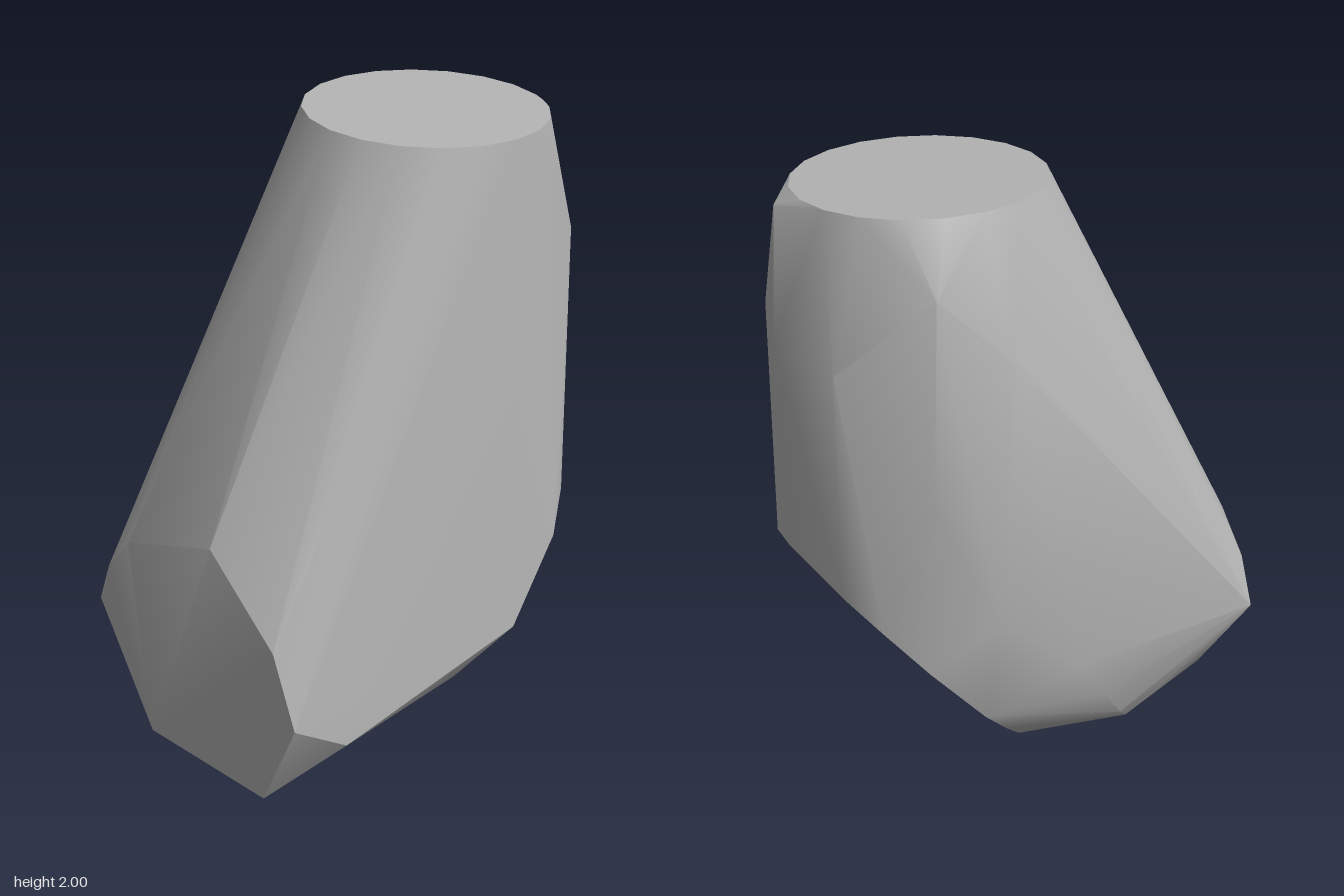
import * as THREE from 'three';
import { ConvexGeometry } from 'three/addons/geometries/ConvexGeometry.js';
import { toCreasedNormals } from 'three/addons/utils/BufferGeometryUtils.js';

// slightly tilted round cap on top
function topRim(sides = 20) {
  return Array.from({ length: sides }, (_, i) => {
    const a = (i / sides) * Math.PI * 2;
    const x = 0.037 + 0.357 * Math.cos(a);
    return [x, 1.985 - 0.042 * (x - 0.037), -0.235 + 0.355 * Math.sin(a)];
  });
}

// flat front face, leaning a little to one side
const frontFace = [
  [-0.41, 0.5, 0.69], [-0.17, 0.125, 0.685], [0.31, 0.12, 0.62], [0.465, 0.45, 0.62],
  [0.39, 0.68, 0.632], [0.15, 0.92, 0.66], [-0.23, 0.78, 0.688], [-0.34, 0.65, 0.694],
];

// oval cut sloping from the underside up to the back: [x, z]
const slopedCut = [
  [-0.08, 0.01], [0.07, 0.01], [0.22, -0.045], [0.34, -0.12], [0.45, -0.265], [0.42, -0.46],
  [0.36, -0.55], [0.27, -0.62], [0.15, -0.68], [0.02, -0.7], [-0.22, -0.645],
  [-0.31, -0.57], [-0.39, -0.465], [-0.4, -0.29], [-0.32, -0.17], [-0.23, -0.07],
].map(([x, z]) => [x, 0.08 - 1.25 * z, z]);

// underside and rounded side
const lowerEdge = [
  [0.08, 0, 0.42], [0.465, 0.31, 0.43], [0, 0.05, 0.035], [-0.2, 0.07, 0.36],
  [-0.28, 0.13, 0.33], [-0.36, 0.2, 0.25], [-0.4, 0.26, 0.2], [-0.45, 0.41, 0.1],
  [-0.475, 0.57, 0], [-0.475, 0.83, -0.28],
];

// bevelled shoulder behind the top cap
const shoulder = [
  [-0.45, 1.62, -0.22], [-0.39, 1.82, -0.42], [-0.22, 1.59, -0.64],
  [0.02, 1.6, -0.7], [0.28, 1.6, -0.61], [0.12, 1.95, -0.63], [-0.41, 1.2, -0.45],
];

export function createModel() {
  const group = new THREE.Group();
  group.name = 'facetedBlock';
  const grey = new THREE.MeshStandardMaterial({ color: 0xb4b4b4 });
  grey.name = 'grey';

  const points = [...topRim(), ...frontFace, ...slopedCut, ...lowerEdge, ...shoulder]
    .map((p) => new THREE.Vector3(...p));
  const body = new THREE.Mesh(toCreasedNormals(new ConvexGeometry(points), 0.5), grey);
  body.name = 'body';
  group.add(body);
  return group;
}
